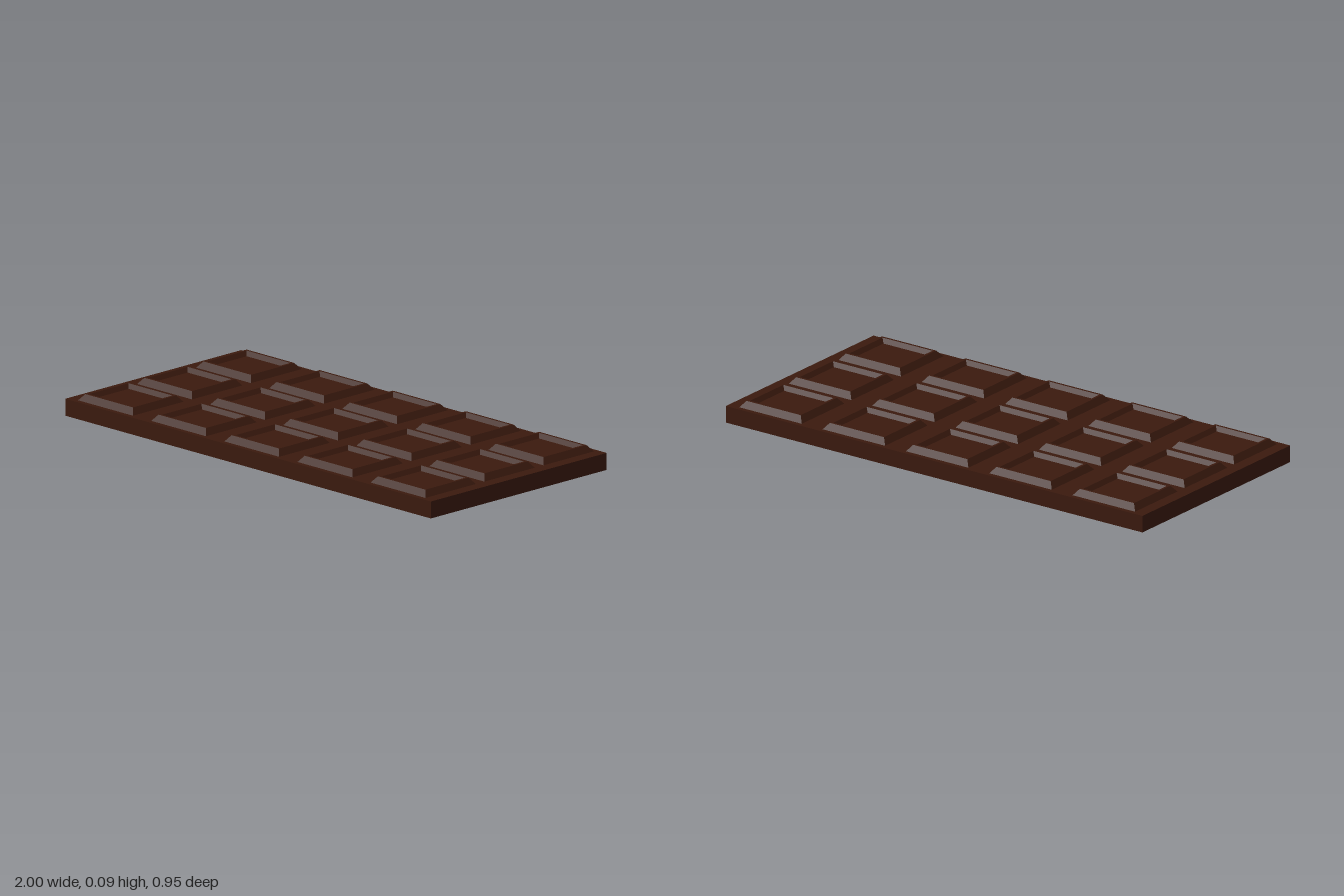
import * as THREE from 'three';

const SLAB_TOP = 0.068;
const HALF_DEPTH = 0.477;

// Rectangular rings [halfX, halfZ, y] joined by sloped faces, last ring closed by a floor
function loftRings(rings) {
  const positions = [];
  const indices = [];
  for (const [hx, hz, y] of rings) {
    positions.push(-hx, y, hz, hx, y, hz, hx, y, -hz, -hx, y, -hz);
  }
  for (let r = 0; r < rings.length - 1; r++) {
    for (let i = 0; i < 4; i++) {
      const a = r * 4 + i;
      const b = r * 4 + (i + 1) % 4;
      indices.push(a, b, b + 4, a, b + 4, a + 4);
    }
  }
  const k = (rings.length - 1) * 4;
  indices.push(k, k + 1, k + 2, k, k + 2, k + 3);
  const geometry = new THREE.BufferGeometry();
  geometry.setAttribute('position', new THREE.Float32BufferAttribute(positions, 3));
  geometry.setIndex(indices);
  const flat = geometry.toNonIndexed();
  flat.computeVertexNormals();
  return flat;
}

export function createModel() {
  const group = new THREE.Group();
  group.name = 'chocolateBar';
  const chocolate = new THREE.MeshStandardMaterial({ color: 0x3b1a0e, flatShading: true });

  // Flat slab
  const slab = new THREE.Mesh(new THREE.BoxGeometry(2, SLAB_TOP, HALF_DEPTH * 2), chocolate);
  slab.name = 'slab';
  slab.position.y = SLAB_TOP / 2;
  group.add(slab);

  // Square: outer bevel, narrow flat rim, inner slope and sunken panel
  const squareGeometry = loftRings([
    [0.15, 0.137, 0],
    [0.13, 0.117, 0.025],
    [0.12, 0.107, 0.025],
    [0.105, 0.093, 0.008],
  ]);

  // Five by three grid of squares
  for (let col = -2; col <= 2; col++) {
    for (let row = -1; row <= 1; row++) {
      const square = new THREE.Mesh(squareGeometry, chocolate);
      square.name = `square_${col + 3}_${row + 2}`;
      square.position.set(col * 0.4, SLAB_TOP, row * 0.32);
      group.add(square);
    }
  }
  return group;
}
